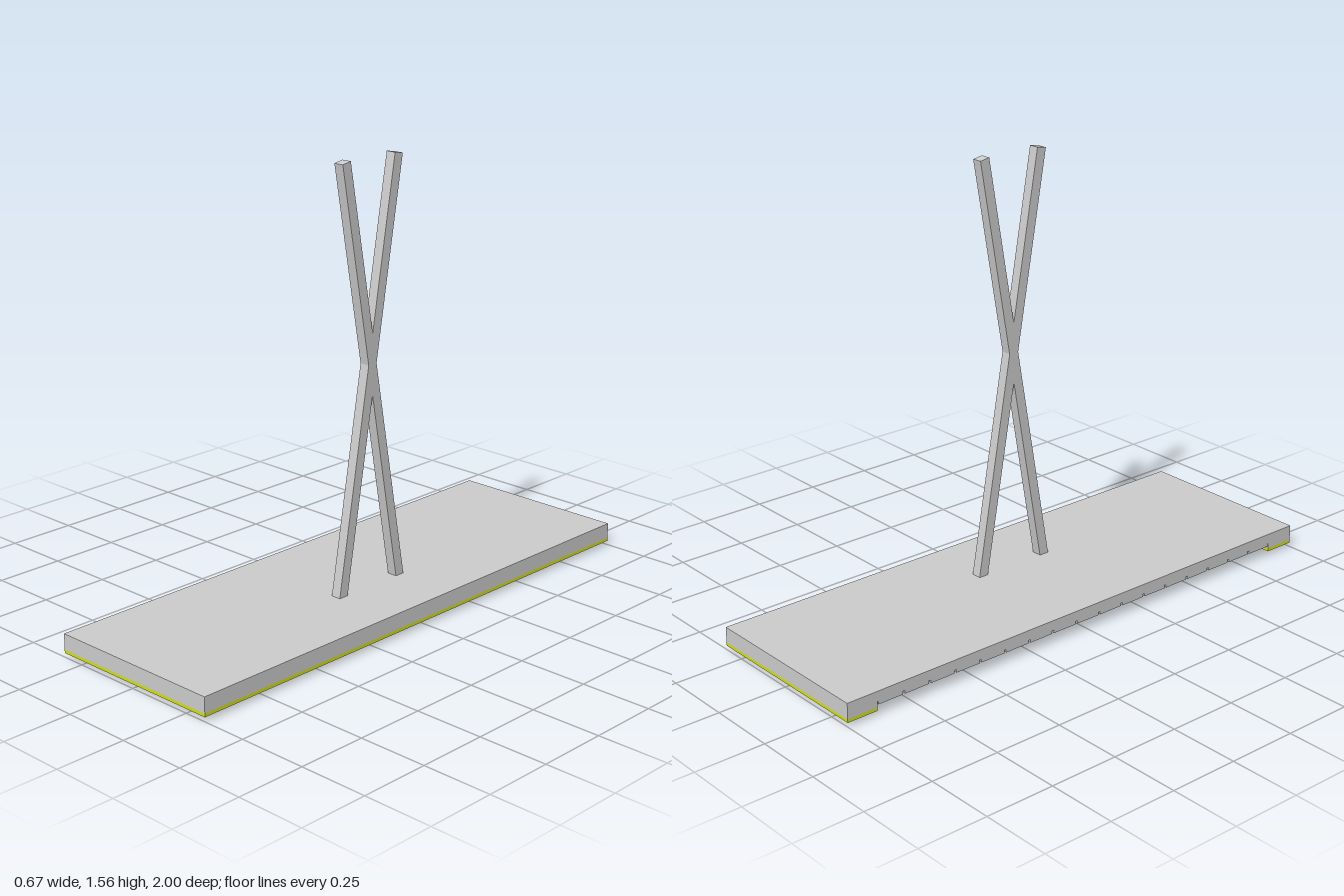
import * as THREE from 'three';

const paint = (color) => new THREE.MeshStandardMaterial({ color });
const GREY = paint(0xcccccc), LIME = paint(0xd2de1c), PINK = paint(0xe06fd0);
const GREEN = paint(0x7fdc3c), GOLD = paint(0xd2a636), BLUE = paint(0x2c9bd6);

export function createModel() {
  const model = new THREE.Group();

  const add = (name, geometry, material) => {
    const mesh = new THREE.Mesh(geometry, material);
    mesh.name = name;
    model.add(mesh);
    return mesh;
  };
  // Box given by its min and max along each axis
  const box = (name, material, [x0, x1], [y0, y1], [z0, z1]) =>
    add(name, new THREE.BoxGeometry(x1 - x0, y1 - y0, z1 - z0), material)
      .position.set((x0 + x1) / 2, (y0 + y1) / 2, (z0 + z1) / 2);

  // Case outline with the key bay cut out of one long side
  const W = 0.335, BAY = 0.885;
  const outline = new THREE.Shape([
    [-W, -1], [W, -1], [W, 1], [-W, 1], [-W, BAY], [0, BAY], [0, -BAY], [-W, -BAY],
  ].map(([x, z]) => new THREE.Vector2(x, z)));
  const layer = (name, material, y0, y1) => {
    const g = new THREE.ExtrudeGeometry(outline, { depth: y1 - y0, bevelEnabled: false });
    g.rotateX(Math.PI / 2);
    add(name, g, material).position.y = y1;
  };
  box('caseSlab', GREY, [-W, W], [0.047, 0.083], [-1, 1]);
  layer('caseRim', GREY, 0.027, 0.047);
  layer('controlPanel', LIME, 0.015, 0.027);

  // Long keys side by side in the bay, with thin gaps
  const KEYS = 17, pitch = (2 * BAY) / KEYS, gap = 0.008;
  for (let i = 0; i < KEYS; i++) {
    const z = BAY - i * pitch;
    box('longKey', GREY, [-W, 0], [0.036, 0.05], [z - pitch + gap / 2, z - gap / 2]);
  }

  // Short raised keys, placed over the joints between long keys
  for (const step of [0, 2, 5, 7, 10, 13, 15]) {
    const z = 0.73 - step * 0.105;
    box('shortKey', BLUE, [-0.135, -0.02], [0.022, 0.04], [z - 0.05, z + 0.05]);
  }

  // Square pads and the display
  const row = [0.07, 0.23], raised = [0, 0.018];
  box('pad', PINK, row, raised, [0.81, 0.96]);
  box('pad', GREEN, row, raised, [0.62, 0.77]);
  box('pad', GOLD, row, raised, [0.4, 0.55]);
  box('display', GOLD, row, raised, [-0.89, -0.55]);

  // Two rows of round knobs
  for (const z of [0.255, 0.13, 0]) {
    for (const [x, material] of [[0.195, PINK], [0.105, GREEN]]) {
      add('knob', new THREE.CylinderGeometry(0.035, 0.035, 0.018, 32), material)
        .position.set(x, 0.009, z);
    }
  }

  // Three long sliders
  [[0.212, BLUE], [0.15, PINK], [0.088, GREEN]].forEach(([x, material]) =>
    box('slider', material, [x - 0.018, x + 0.018], raised, [-0.46, -0.12]));

  // Crossed stand legs
  for (const side of [-1, 1]) {
    const g = new THREE.BoxGeometry(0.037, 1.52, 0.037);
    g.translate(0, -0.06, 0);
    const leg = add('standLeg', g, GREY);
    leg.position.set(0.092, 0.87, 0.025);
    leg.rotation.x = side * THREE.MathUtils.degToRad(10);
  }

  return model;
}
